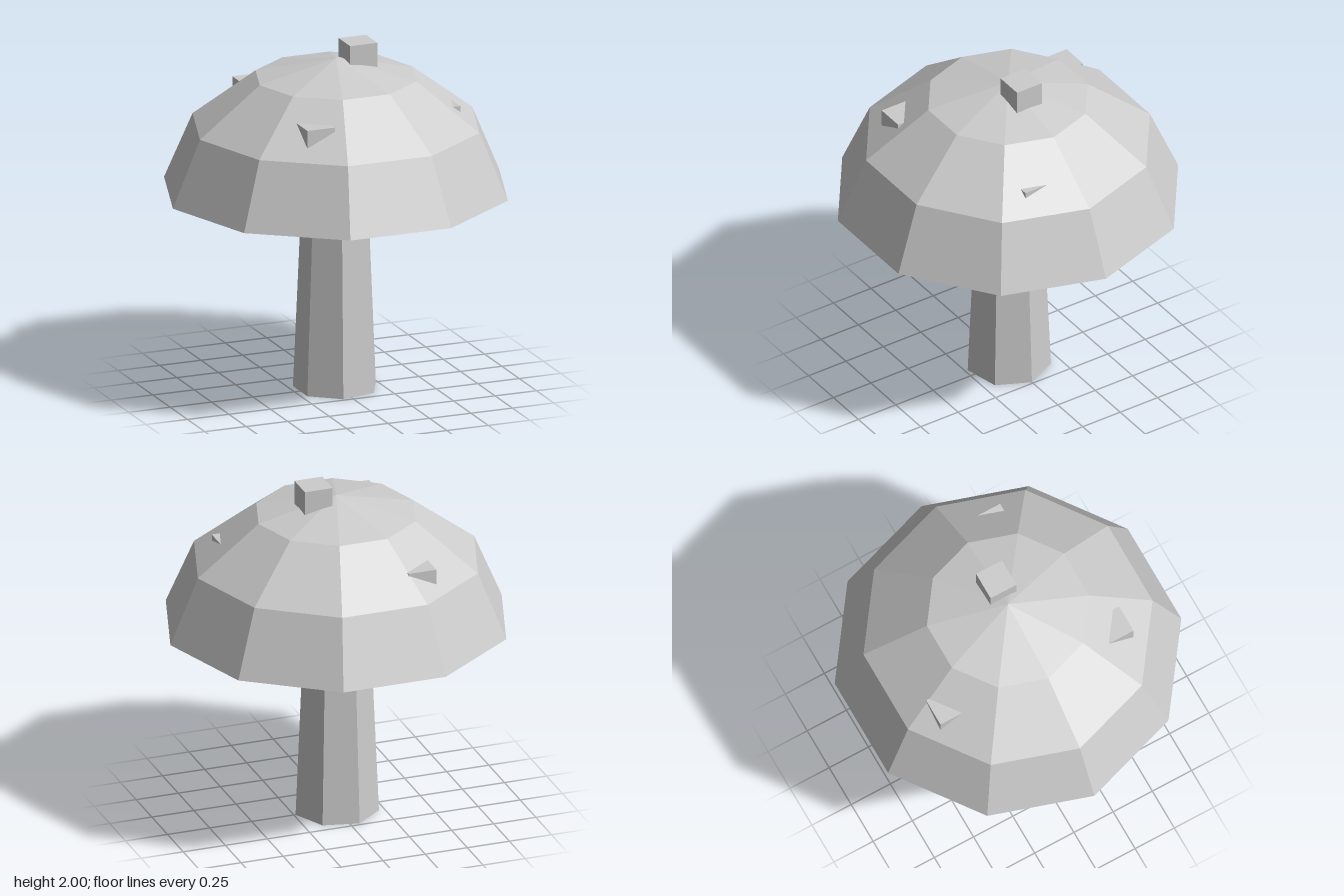
import * as THREE from 'three';

export function createModel() {
  const group = new THREE.Group();
  const grey = new THREE.MeshStandardMaterial({ color: 0xcccccc, flatShading: true });
  grey.name = 'light grey';

  const add = (name, geometry, x = 0, y = 0, z = 0) => {
    const mesh = new THREE.Mesh(geometry, grey);
    mesh.name = name;
    mesh.position.set(x, y, z);
    group.add(mesh);
  };

  // Seven-sided tapering stem, one corner facing +x
  const stemHeight = 1.2;
  add('stem', new THREE.CylinderGeometry(0.188, 0.24, stemHeight, 7, 1, false, Math.PI / 2), 0, stemHeight / 2, 0);

  // Ten-sided cap: shallow hollow underside, rim, then the dome up to its tip
  const profile = [[0, 1.205], [0.983, 1.153], [0.82, 1.535], [0.46, 1.81], [0, 1.915]];
  add('cap', new THREE.LatheGeometry(profile.map(([r, y]) => new THREE.Vector2(r, y)), 10, Math.PI / 2));

  // Cube spots sunk into the cap: centre x, top y, centre z
  const size = 0.165;
  const spots = [
    ['topSpot', 0.133, 2, 0],
    ['backRightSpot', -0.278, 1.67, -0.55],
    ['frontRightSpot', -0.328, 1.7, 0.488],
    ['leftSpot', 0.543, 1.645, 0.218],
  ];
  const cube = new THREE.BoxGeometry(size, size, size);
  for (const [name, x, top, z] of spots) add(name, cube, x, top - size / 2, z);

  return group;
}
